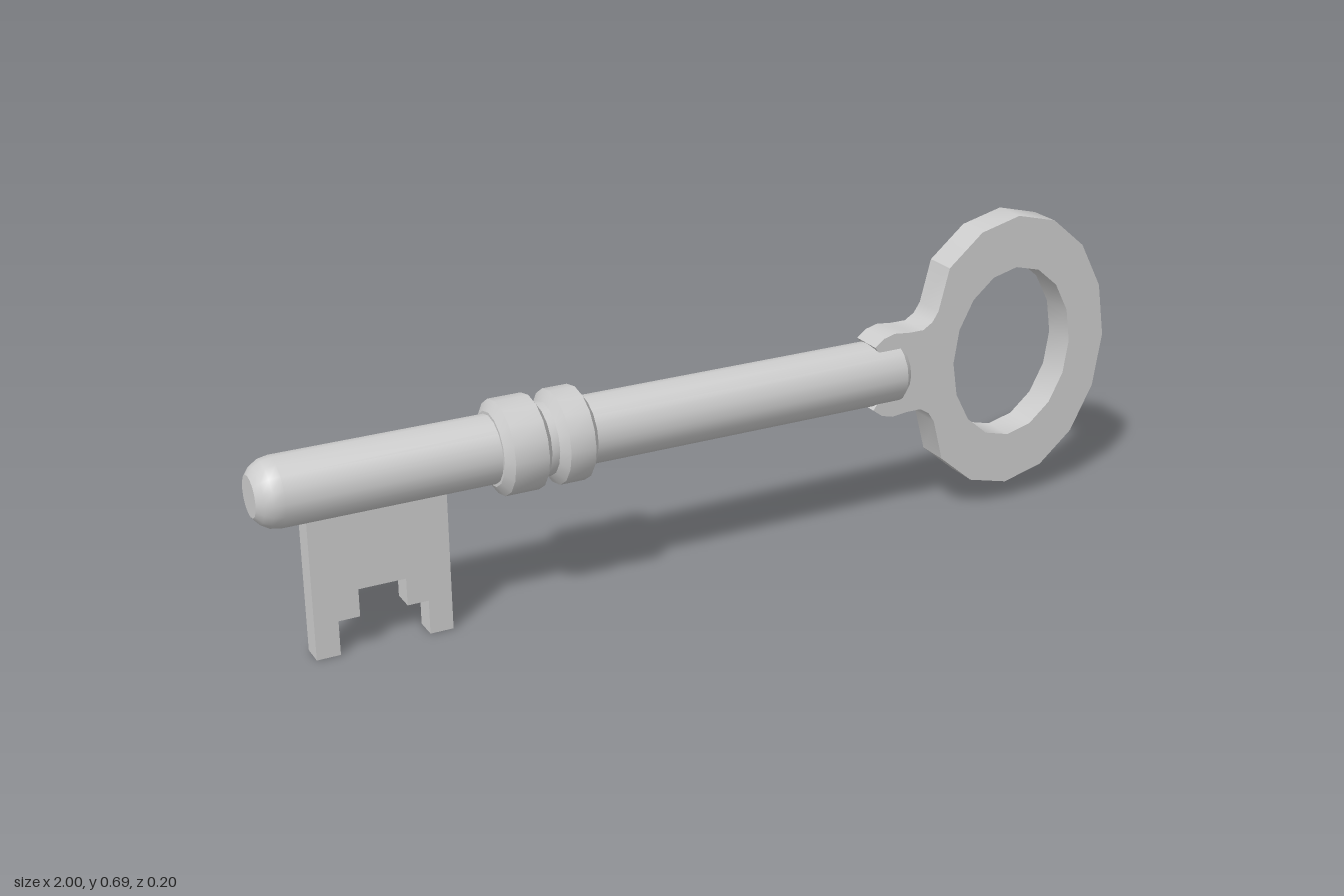
import * as THREE from 'three';
import { toCreasedNormals } from 'three/addons/utils/BufferGeometryUtils.js';

const AXIS_Y = 0.367;
const SIDES = 16;

export function createModel() {
  const key = new THREE.Group();
  key.name = 'key';
  const material = new THREE.MeshStandardMaterial({ color: 0xcccccc });

  const add = (name, geometry, crease) => {
    const mesh = new THREE.Mesh(toCreasedNormals(geometry, crease), material);
    mesh.name = name;
    mesh.position.y = AXIS_Y;
    key.add(mesh);
  };

  // Turned part along x, from [x, radius] pairs
  const turned = (name, profile) => {
    const points = profile.map(([x, r]) => new THREE.Vector2(r, x));
    add(name, new THREE.LatheGeometry(points, SIDES).rotateZ(-Math.PI / 2), 0.6);
  };

  // Flat part in the xy plane, centred on z = 0
  const plate = (name, shape, depth) => {
    const geometry = new THREE.ExtrudeGeometry(shape, { depth, bevelEnabled: false });
    add(name, geometry.translate(0, 0, -depth / 2), 0.6);
  };

  // Point of the bow ellipse, step 0 at the far end, going counterclockwise
  const ellipsePoint = (i, rx, ry) => {
    const a = (i / SIDES) * Math.PI * 2;
    return new THREE.Vector2(0.747 + rx * Math.cos(a), ry * Math.sin(a));
  };

  // Shaft with a rounded nose and a chamfered rear end
  turned('shaft', [
    [-1, 0], [-1, 0.043], [-0.988, 0.058], [-0.972, 0.068], [-0.95, 0.072],
    [0.448, 0.072], [0.465, 0.056], [0.465, 0],
  ]);

  // Double collar
  const collars = [[-0.505, -0.49, -0.417, -0.402], [-0.385, -0.37, -0.315, -0.3]];
  for (const [x0, x1, x2, x3] of collars) {
    turned('collar', [[x0, 0], [x0, 0.078], [x1, 0.1], [x2, 0.1], [x3, 0.078], [x3, 0]]);
  }
  turned('collarGroove', [[-0.405, 0.078], [-0.38, 0.078]]);

  // Bow: oval ring whose outline flows into a short neck over the shaft end
  const neck = [[0.543, 0.13], [0.528, 0.107], [0.505, 0.093], [0.47, 0.093],
    [0.432, 0.097], [0.405, 0.09], [0.382, 0.073], [0.4, 0.05]];
  const outline = [];
  for (let i = -6; i <= 6; i++) outline.push(ellipsePoint(i, 0.253, 0.318));
  for (const [x, y] of neck) outline.push(new THREE.Vector2(x, y));
  for (const [x, y] of [...neck].reverse()) outline.push(new THREE.Vector2(x, -y));
  const bow = new THREE.Shape(outline);
  const hole = [];
  for (let i = 0; i < SIDES; i++) hole.push(ellipsePoint(-i, 0.158, 0.2));
  bow.holes.push(new THREE.Path(hole));
  plate('bow', bow, 0.074);

  // Bit with stepped notch between two teeth
  const bit = [[-0.9, 0.36], [-0.9, 0], [-0.85, 0], [-0.85, 0.075], [-0.805, 0.075],
    [-0.805, 0.135], [-0.705, 0.135], [-0.705, 0.075], [-0.66, 0.075], [-0.66, 0],
    [-0.61, 0], [-0.61, 0.36]];
  plate('bit', new THREE.Shape(bit.map(([x, y]) => new THREE.Vector2(x, y - AXIS_Y))), 0.05);

  return key;
}
